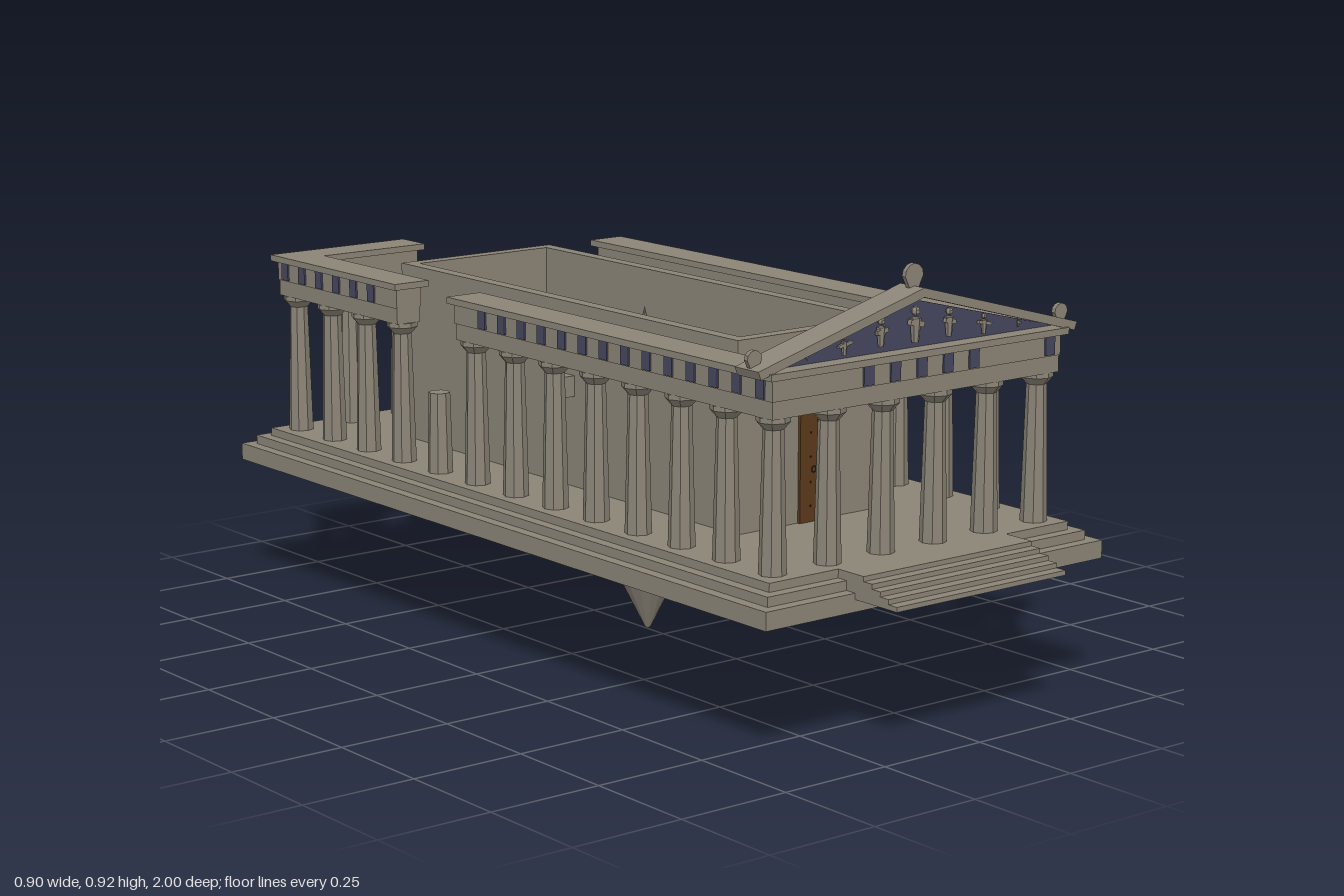
import * as THREE from 'three';

const mat = (name, color, extra = {}) => {
  const m = new THREE.MeshStandardMaterial({ color, flatShading: true, ...extra });
  m.name = name;
  return m;
};

export function createModel() {
  const stone = mat('stone', 0x8b8477);
  const blue = mat('faded blue', 0x474760);
  const wood = mat('door wood', 0x5c3a1c);
  const iron = mat('dark wood', 0x3c2612);
  const model = new THREE.Group();

  const add = (name, geo, material, parent = model) => {
    const m = new THREE.Mesh(geo, material);
    m.name = name;
    parent.add(m);
    return m;
  };
  const group = (name) => {
    const g = new THREE.Group();
    g.name = name;
    model.add(g);
    return g;
  };
  // Box given by its limits on each axis
  const box = (name, x0, x1, y0, y1, z0, z1, material = stone, parent = model) => {
    const m = add(name, new THREE.BoxGeometry(x1 - x0, y1 - y0, z1 - z0), material, parent);
    m.position.set((x0 + x1) / 2, (y0 + y1) / 2, (z0 + z1) / 2);
    return m;
  };
  const lathe = (pts, sides) =>
    new THREE.LatheGeometry(pts.map(([r, y]) => new THREE.Vector2(r, y)), sides);
  const plate = (pts, depth) => new THREE.ExtrudeGeometry(
    new THREE.Shape(pts.map(([x, y]) => new THREE.Vector2(x, y))), { depth, bevelEnabled: false });

  // Stepped platform
  const FLOOR = 0.353;
  box('platformBase', -0.45, 0.45, 0.277, 0.315, -1, 0.88);
  box('platformMiddle', -0.425, 0.425, 0.315, 0.335, -0.975, 0.855);
  box('platformTop', -0.4, 0.4, 0.335, FLOOR, -0.95, 0.83);

  // Front stairs
  const stairs = group('frontStairs');
  for (let i = 0; i < 5; i++) {
    const y = 0.302 + i * 0.0102;
    box('stair', -0.225, 0.225, y, y + 0.0102, 0.83, 1 - i * 0.024, stone, stairs);
  }

  // Pointed support below
  const spike = add('spike', lathe([[0, 0], [0.007, 0.006], [0.083, 0.15], [0.17, 0.278]], 14), stone);
  spike.scale.z = 0.88;
  spike.position.z = -0.055;

  // Columns, whole and broken
  const columns = group('columns');
  const columnGeo = lathe([[0.028, FLOOR], [0.021, 0.64], [0.034, 0.655], [0.034, 0.665], [0, 0.665]], 8);
  const broken = { '0.35,-0.9': 0.477, '0.21,-0.9': 0.435, '0.07,-0.9': 0.515, '0.35,-0.76': 0.563, '-0.35,-0.34': 0.53 };
  const column = (x, z) => {
    const top = broken[`${+x.toFixed(2)},${+z.toFixed(2)}`];
    const r = top && 0.028 - 0.007 * (top - FLOOR) / 0.287;
    const geo = top ? lathe([[0.028, FLOOR], [r, top], [0, top]], 8) : columnGeo;
    add(top ? 'brokenColumn' : 'column', geo, stone, columns).position.set(x, 0, z);
  };
  for (const side of [-1, 1]) {
    for (let i = 0; i < 13; i++) column(side * 0.35, 0.78 - i * 0.14);
    for (const x of [0.07, 0.21]) for (const z of [0.78, -0.9]) column(side * x, z);
  }

  // Entablature runs: architrave, frieze and overhanging cornice
  const entablature = group('entablature');
  const run = (x0, x1, z0, z1) => {
    box('architrave', x0, x1, 0.665, 0.7, z0, z1, stone, entablature);
    box('frieze', x0 - 0.002, x1 + 0.002, 0.7, 0.743, z0 - 0.002, z1 + 0.002, stone, entablature);
    box('cornice', x0 - 0.014, x1 + 0.014, 0.743, 0.757, z0 - 0.014, z1 + 0.014, stone, entablature);
  };
  run(-0.38, 0.38, 0.75, 0.812);
  run(0.32, 0.38, -0.646, 0.76);
  run(-0.38, -0.32, -0.231, 0.76);
  run(-0.38, -0.32, -0.931, -0.454);
  run(-0.37, -0.044, -0.931, -0.87);

  // Blue frieze panels
  const panels = group('friezePanels');
  const panelX = (x, z) => box('friezePanel', x - 0.013, x + 0.013, 0.703, 0.741, z - 0.003, z + 0.003, blue, panels);
  const panelZ = (x, z) => box('friezePanel', x - 0.003, x + 0.003, 0.703, 0.741, z - 0.013, z + 0.013, blue, panels);
  [-0.14, -0.07, 0, 0.07, 0.14, 0.35].forEach((x) => panelX(x, 0.815));
  [0.78, 0.71, 0.295, 0.155, 0.085, 0.015, -0.055, -0.335, -0.405].forEach((z) => panelZ(0.383, z));
  for (let i = 0; i < 14; i++) panelZ(-0.383, 0.78 - i * 0.07);
  for (let i = 0; i < 6; i++) panelZ(-0.383, -0.55 - i * 0.07);
  for (let i = 0; i < 5; i++) panelX(-0.35 + i * 0.07, -0.934);

  // Pediment
  const pediment = group('pediment');
  add('tympanum', plate([[-0.385, 0.757], [0.385, 0.757], [0, 0.853]], 0.012), blue, pediment).position.z = 0.775;
  add('rakingCornice', plate([[0, 0.88], [-0.422, 0.765], [-0.415, 0.748], [0, 0.861],
    [0.415, 0.748], [0.422, 0.765]], 0.07), stone, pediment).position.z = 0.75;

  // Fan-shaped roof ornaments
  const fan = plate([[-0.25, 0], [0.25, 0], [0.5, 0.5], [0.45, 0.75], [0.25, 0.95], [0, 1.02],
    [-0.25, 0.95], [-0.45, 0.75], [-0.5, 0.5]], 0.01);
  for (const [x, y, s] of [[0, 0.876, 0.048], [-0.406, 0.764, 0.036], [0.406, 0.764, 0.036]]) {
    const f = add('roofOrnament', fan, stone, pediment);
    f.position.set(x, y, 0.78);
    f.scale.set(s, s, 1);
  }

  // Small pediment figures
  const figures = group('pedimentFigures');
  const figure = (x, y, h, spread) => {
    const body = add('figureBody', new THREE.CylinderGeometry(h * 0.16, h * 0.1, h * 0.65, 6), stone, figures);
    body.position.set(x, y + h * 0.33, 0.795);
    const head = add('figureHead', new THREE.SphereGeometry(h * 0.13, 6, 5), stone, figures);
    head.position.set(x, y + h * 0.84, 0.795);
    const arms = add('figureArms', new THREE.BoxGeometry(spread, h * 0.15, h * 0.15), stone, figures);
    arms.position.set(x, y + h * 0.52, 0.797);
    arms.rotation.z = x < 0 ? 0.2 : -0.2;
  };
  figure(0, 0.768, 0.075, 0.036);
  for (const s of [-1, 1]) {
    figure(s * 0.09, 0.77, 0.06, 0.028);
    figure(s * 0.185, 0.764, 0.043, 0.036);
    figure(s * 0.28, 0.766, 0.02, 0.012);
  }

  // Roofless inner chamber
  const chamber = group('chamber');
  const TOP = 0.752;
  box('chamberFront', -0.207, 0.207, FLOOR, TOP, 0.47, 0.5, stone, chamber);
  box('chamberBack', -0.207, 0.207, FLOOR, TOP, -0.69, -0.66, stone, chamber);
  box('chamberLeft', 0.177, 0.207, FLOOR, TOP, -0.66, 0.47, stone, chamber);
  box('chamberRight', -0.207, -0.177, FLOOR, TOP, -0.66, 0.47, stone, chamber);

  // Double door with lintel, studs and ring handles
  const door = group('door');
  box('lintel', -0.048, 0.048, 0.583, 0.603, 0.5, 0.508, stone, door);
  box('innerLintel', -0.08, 0.08, 0.583, 0.603, 0.455, 0.47, stone, door);
  box('innerDoor', -0.046, 0.046, FLOOR, 0.583, 0.465, 0.47, wood, door);
  for (const s of [-1, 1]) {
    box('doorLeaf', Math.min(s * 0.0006, s * 0.046), Math.max(s * 0.0006, s * 0.046), FLOOR, 0.58, 0.5, 0.507, wood, door);
    for (const y of [0.387, 0.437, 0.49, 0.54]) {
      add('stud', new THREE.SphereGeometry(0.0025, 6, 4), iron, door).position.set(s * 0.018, y, 0.507);
    }
    add('ringHandle', new THREE.TorusGeometry(0.006, 0.0015, 5, 12), iron, door).position.set(s * 0.01, 0.463, 0.508);
  }

  // Enthroned statue inside the chamber
  const statue = group('statue');
  box('throne', -0.083, 0.083, FLOOR, 0.48, -0.205, -0.04, stone, statue);
  box('throneBack', -0.083, 0.083, 0.48, 0.56, -0.205, -0.17, stone, statue);
  box('torso', -0.07, 0.09, 0.48, 0.6, -0.09, -0.04, stone, statue);
  box('raisedArm', -0.2, -0.07, 0.555, 0.59, -0.08, -0.05, stone, statue);
  box('hand', -0.238, -0.195, 0.55, 0.595, -0.088, -0.042, stone, statue);
  add('head', new THREE.SphereGeometry(0.026, 8, 6), stone, statue).position.set(0, 0.625, -0.065);
  add('helmetPoint', new THREE.ConeGeometry(0.02, 0.085, 8), stone, statue).position.set(0, 0.677, -0.065);

  return model;
}
